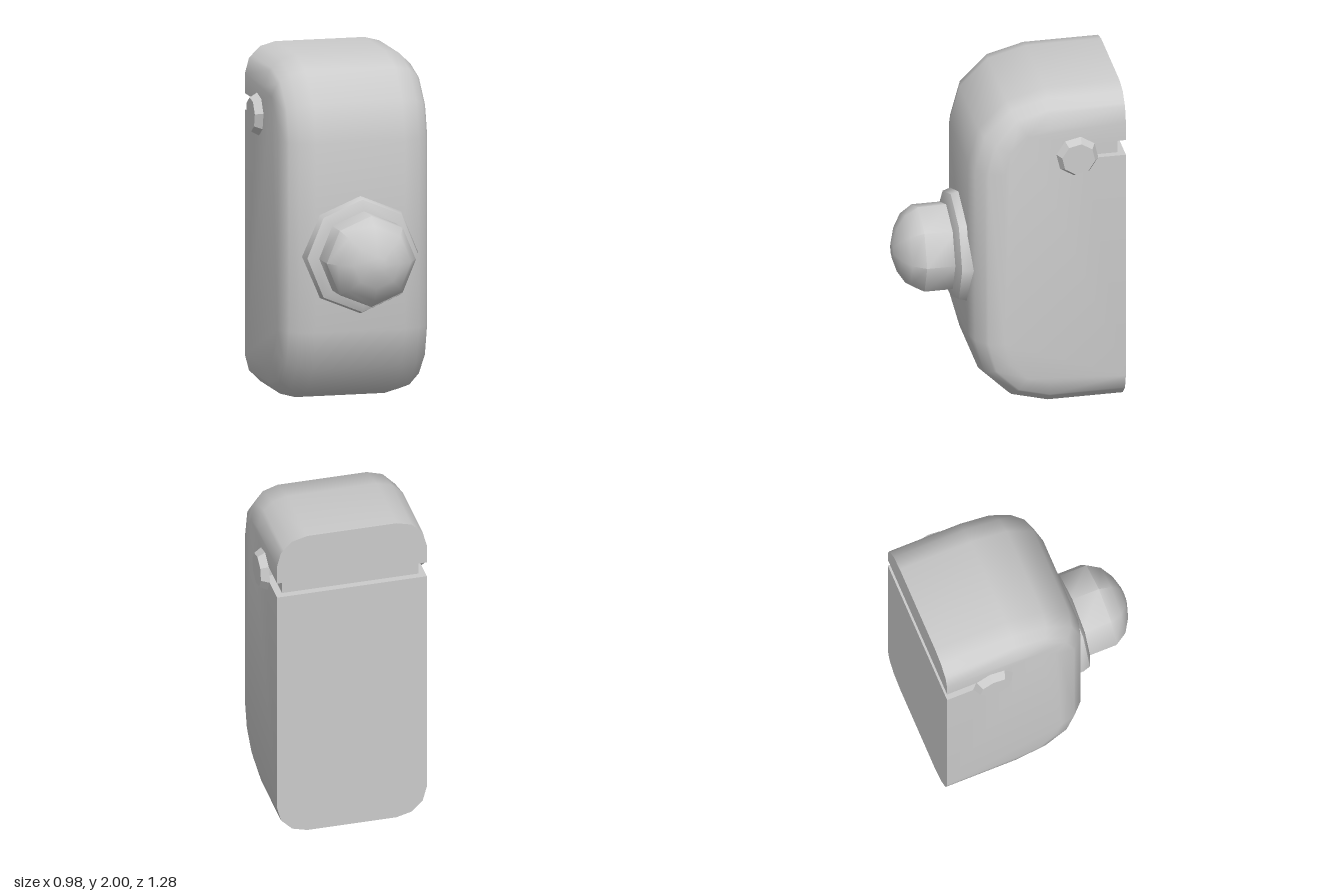
import * as THREE from 'three';
import { toCreasedNormals } from 'three/addons/utils/BufferGeometryUtils.js';

const HALF_W = 0.445, EDGE_R = 0.18, CORNER_R = 0.45, BACK = 0.64;
const SLOT_LOW = 1.61, SLOT_HIGH = 1.705, SLOT_D = 0.04;

// Side outline of the housing, counter-clockwise as (-z, y), shrunk by inset;
// slotEnd is how far forward the rear slot reaches.
function outline(inset, slotEnd) {
  const pts = [];
  const arc = (cy, from) => {
    for (let i = 0; i <= 3; i++) {
      const a = from + (i * Math.PI) / 6, r = CORNER_R - inset;
      pts.push(new THREE.Vector2(0.2 + r * Math.cos(a), cy + r * Math.sin(a)));
    }
  };
  arc(CORNER_R, Math.PI);
  [[BACK, inset], [BACK, SLOT_LOW], [slotEnd, SLOT_LOW], [slotEnd, SLOT_HIGH],
    [BACK, SLOT_HIGH], [BACK, 2 - inset]].forEach(([u, y]) => pts.push(new THREE.Vector2(u, y)));
  arc(2 - CORNER_R, Math.PI / 2);
  return pts;
}

// Housing: outlines lofted across the width, rounded at the edges
function bodyGeometry() {
  const bevel = [0, 1, 2, 3].map((i) => {
    const a = (i * Math.PI) / 6;
    return { x: HALF_W - EDGE_R * (1 - Math.sin(a)), inset: EDGE_R * (1 - Math.cos(a)), end: BACK - SLOT_D };
  });
  // the slot also runs along each side, up to the pivot
  const xs = HALF_W - SLOT_D;
  const t = (xs - bevel[1].x) / (bevel[2].x - bevel[1].x);
  const inset = THREE.MathUtils.lerp(bevel[1].inset, bevel[2].inset, t);
  const half = [bevel[0], bevel[1], { x: xs, inset, end: BACK - SLOT_D }, { x: xs, inset, end: 0.4 },
    { ...bevel[2], end: 0.4 }, { ...bevel[3], end: 0.4 }];
  const layers = [...half.map((l) => ({ ...l, x: -l.x })).reverse(), ...half];
  const rings = layers.map((l) => outline(l.inset, l.end).map((p) => new THREE.Vector3(l.x, p.y, -p.x)));

  const pos = [];
  const tri = (a, b, c) => {
    if (new THREE.Triangle(a, b, c).getArea() > 1e-7) [a, b, c].forEach((p) => pos.push(p.x, p.y, p.z));
  };
  for (let k = 0; k < rings.length - 1; k++) {
    const a = rings[k], b = rings[k + 1];
    a.forEach((p, i) => {
      const j = (i + 1) % a.length;
      tri(p, a[j], b[j]);
      tri(p, b[j], b[i]);
    });
  }
  // flat side faces
  const first = rings[0], last = rings[rings.length - 1], end = layers[0];
  THREE.ShapeUtils.triangulateShape(outline(end.inset, end.end), []).forEach(([a, b, c]) => {
    tri(last[a], last[b], last[c]);
    tri(first[c], first[b], first[a]);
  });
  const geo = new THREE.BufferGeometry();
  geo.setAttribute('position', new THREE.Float32BufferAttribute(pos, 3));
  return toCreasedNormals(geo, 0.7);
}

// Eight-sided turned part, pointing forward
function turned(profile) {
  const geo = new THREE.LatheGeometry(profile.map(([r, z]) => new THREE.Vector2(r, z)), 8);
  return toCreasedNormals(geo.rotateX(Math.PI / 2), 0.85);
}

export function createModel() {
  const group = new THREE.Group();
  const material = new THREE.MeshStandardMaterial({ color: 0xcccccc });
  const add = (name, geo, x = 0, y = 0, z = 0) => {
    const mesh = new THREE.Mesh(geo, material);
    mesh.name = name;
    mesh.position.set(x, y, z);
    group.add(mesh);
  };

  add('housing', bodyGeometry());

  // Collar and domed button on the front
  add('buttonCollar', turned([[0.342, 0.2], [0.342, 0.25], [0.328, 0.295], [0.265, 0.322], [0.2, 0.322]]), 0, 0.895);
  add('domedButton', turned([[0.265, 0.3], [0.265, 0.487], [0.217, 0.562], [0.137, 0.612], [0.05, 0.64], [0, 0.643]]), 0, 0.895);

  // Pivot caps on both sides, at the end of the slot
  for (const side of [-1, 1]) {
    const cap = new THREE.CylinderGeometry(0.098, 0.125, 0.047, 8);
    cap.rotateZ((-side * Math.PI) / 2).rotateX(-0.17);
    add(side > 0 ? 'leftPivotCap' : 'rightPivotCap', toCreasedNormals(cap, 0.5), side * 0.4665, 1.632, -0.355);
  }
  return group;
}
